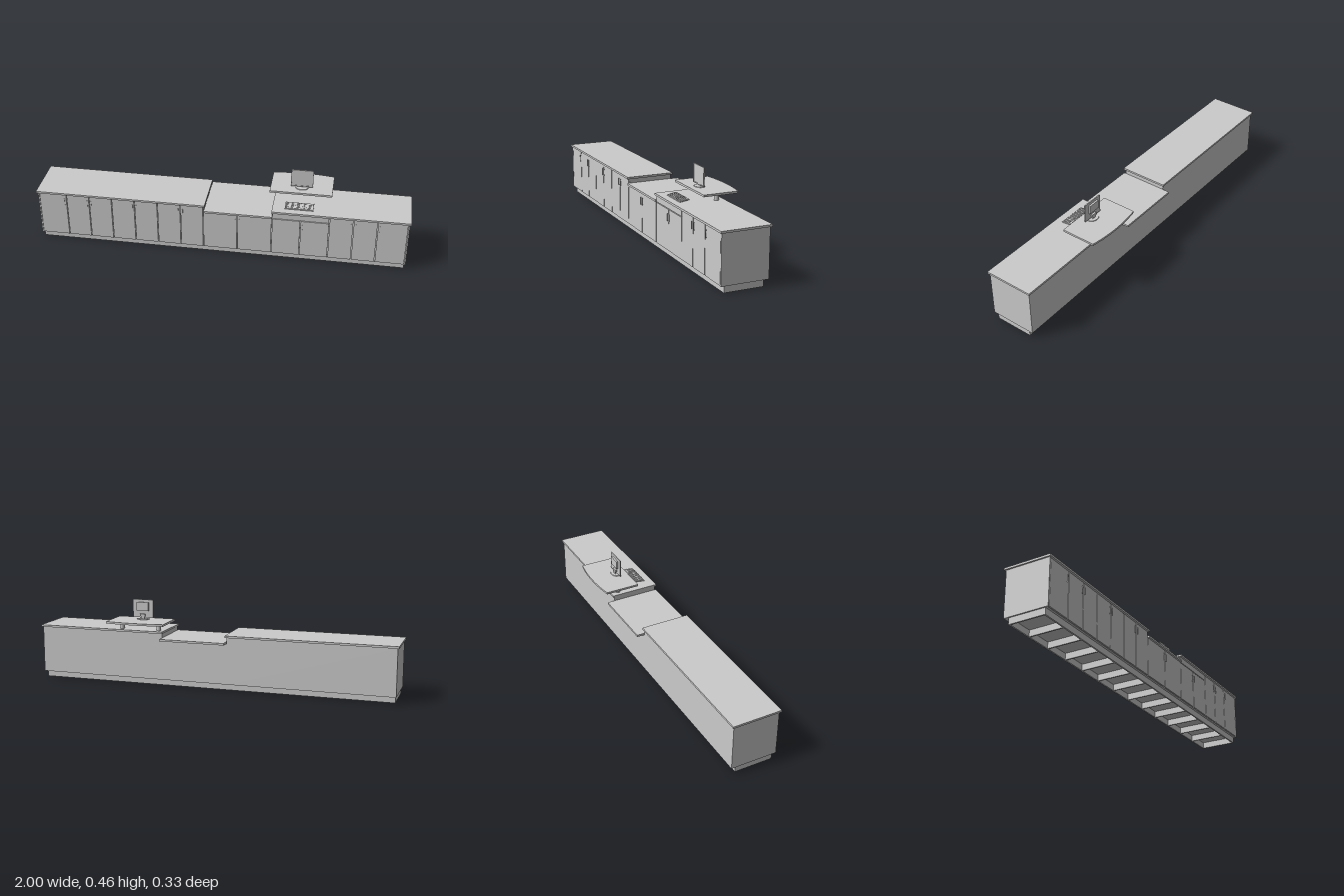
import * as THREE from 'three';

const grey = new THREE.MeshStandardMaterial({ color: 0xcccccc });

function add(parent, name, geometry) {
  const mesh = new THREE.Mesh(geometry, grey);
  mesh.name = name;
  parent.add(mesh);
  return mesh;
}

// Box given by its extents along each axis
function box(parent, name, [x0, x1], [y0, y1], [z0, z1]) {
  const mesh = add(parent, name, new THREE.BoxGeometry(x1 - x0, y1 - y0, z1 - z0));
  mesh.position.set((x0 + x1) / 2, (y0 + y1) / 2, (z0 + z1) / 2);
  return mesh;
}

function group(parent, name) {
  const g = new THREE.Group();
  g.name = name;
  parent.add(g);
  return g;
}

const GAP = 0.002;
const DOOR_Z = [0.151, 0.158];

function door(parent, x0, x1, top, handleX) {
  box(parent, 'door', [x0 + GAP, x1 - GAP], [0.037, top], DOOR_Z);
  // Bar handle on two posts
  const hTop = top - 0.022, hLow = hTop - 0.04;
  box(parent, 'handle', [handleX - 0.002, handleX + 0.002], [hLow, hTop], [0.1595, 0.162]);
  for (const y of [hLow, hTop - 0.004])
    box(parent, 'handlePost', [handleX - 0.0015, handleX + 0.0015], [y, y + 0.004], [0.157, 0.16]);
}

function buildCabinets(model) {
  const g = group(model, 'cabinets');
  box(g, 'leftCarcass', [-0.99, -0.088], [0.035, 0.29], [-0.093, 0.151]);
  box(g, 'middleCarcass', [-0.088, 0.278], [0.035, 0.256], [-0.093, 0.151]);
  box(g, 'rightCarcass', [0.278, 0.99], [0.035, 0.29], [-0.093, 0.151]);
  for (const s of [-1, 1])
    box(g, 'endPanel', s < 0 ? [-0.992, -0.985] : [0.985, 0.992], [0.035, 0.29], [-0.093, 0.158]);

  // Single doors: left edge, right edge, side that carries the handle
  const singles = [
    [-0.985, -0.835, 1], [-0.336, -0.211, 1], [-0.211, -0.088, -1],
    [0.579, 0.704, 1], [0.704, 0.829, -1], [0.829, 0.985, -1],
  ];
  for (const [a, b, s] of singles) door(g, a, b, 0.287, s > 0 ? b - 0.012 : a + 0.012);

  // Double doors: left edge, right edge, top
  const doubles = [[-0.835, -0.586, 0.287], [-0.586, -0.336, 0.287], [-0.088, 0.278, 0.254], [0.278, 0.579, 0.252]];
  for (const [a, b, top] of doubles) {
    const m = (a + b) / 2;
    door(g, a, m, top, m - 0.01);
    door(g, m, b, top, m + 0.01);
  }
  box(g, 'drawerFront', [0.28, 0.577], [0.256, 0.287], DOOR_Z);
}

function buildPlinth(model) {
  const g = group(model, 'plinth');
  box(g, 'plinthFront', [-0.985, 0.985], [0, 0.035], [0.131, 0.139]);
  box(g, 'plinthBack', [-0.985, 0.985], [0, 0.035], [-0.068, -0.06]);
  const cells = 13;
  for (let i = 0; i <= cells; i++) {
    const x = -0.981 + (1.962 * i) / cells;
    box(g, 'plinthCrossbar', [x - 0.004, x + 0.004], [0, 0.035], [-0.06, 0.131]);
  }
}

function buildCountertops(model) {
  const g = group(model, 'countertops');
  box(g, 'leftCountertop', [-1, -0.08], [0.29, 0.301], [-0.101, 0.166]);
  box(g, 'rightCountertop', [0.275, 1], [0.29, 0.301], [-0.101, 0.166]);
  box(g, 'loweredCountertop', [-0.085, 0.278], [0.256, 0.267], [-0.135, 0.166]);
}

function buildShelf(model) {
  const g = group(model, 'raisedShelf');
  // Plate with a bowed back edge; shape y becomes -z
  const s = new THREE.Shape();
  s.moveTo(0.25, -0.04);
  s.lineTo(0.581, -0.04);
  s.lineTo(0.581, 0.15);
  s.quadraticCurveTo(0.4155, 0.18, 0.25, 0.15);
  s.closePath();
  const plate = add(g, 'shelfPlate', new THREE.ExtrudeGeometry(s, { depth: 0.011, bevelEnabled: false, curveSegments: 16 }));
  plate.rotation.x = -Math.PI / 2;
  plate.position.y = 0.34;
  for (const x of [0.308, 0.523]) {
    const leg = add(g, 'shelfLeg', new THREE.CylinderGeometry(0.0125, 0.0125, 0.04, 24));
    leg.position.set(x, 0.32, -0.059);
  }
}

function buildMonitor(model) {
  const g = group(model, 'monitor');
  const cx = 0.416;
  const foot = add(g, 'monitorFoot', new THREE.CylinderGeometry(0.026, 0.027, 0.003, 32));
  foot.scale.x = 1.3;
  foot.position.set(cx, 0.3525, -0.018);
  box(g, 'monitorNeck', [cx - 0.011, cx + 0.011], [0.353, 0.378], [-0.026, -0.02]);
  box(g, 'neckHinge', [cx - 0.015, cx + 0.015], [0.368, 0.381], [-0.028, -0.018]);
  box(g, 'screenPanel', [cx - 0.059, cx + 0.059], [0.36, 0.46], [-0.018, -0.014]);
  // Raised bezel around the display
  box(g, 'bezelTop', [cx - 0.059, cx + 0.059], [0.456, 0.46], [-0.014, -0.012]);
  box(g, 'bezelBottom', [cx - 0.059, cx + 0.059], [0.36, 0.365], [-0.014, -0.012]);
  for (const d of [-0.057, 0.057])
    box(g, 'bezelSide', [cx + d - 0.002, cx + d + 0.002], [0.36, 0.46], [-0.014, -0.012]);
  box(g, 'monitorBackHousing', [cx - 0.034, cx + 0.034], [0.399, 0.445], [-0.028, -0.018]);
}

function buildKeyboard(model) {
  const g = group(model, 'keyboard');
  g.position.set(0.416, 0.3065, 0.1);
  g.rotation.x = 0.15;
  box(g, 'keyboardBase', [-0.075, 0.075], [-0.002, 0.002], [-0.027, 0.027]);
  const key = (x, z, w) => box(g, 'key', [x + 0.0008, x + w - 0.0008], [0.001, 0.0048], [z + 0.0008, z + 0.0072]);
  for (let r = 0; r < 6; r++) {
    const z = -0.024 + r * 0.008;
    // Main block, with a space bar in the front row
    for (let c = 0; c < 12; c++) {
      if (r === 5 && c > 3 && c < 8) continue;
      key(-0.072 + c * 0.0075, z, 0.0075);
    }
    if (r === 5) key(-0.042, z, 0.03);
    // Navigation and number blocks
    if (r !== 3) for (let c = 0; c < 2; c++) key(0.022 + c * 0.0075, z, 0.0075);
    if (r > 0) for (let c = 0; c < 4; c++) key(0.041 + c * 0.0077, z, 0.0077);
  }
  for (const x of [-0.06, 0.06])
    box(g, 'keyboardFoot', [x - 0.004, x + 0.004], [-0.008, -0.001], [-0.024, -0.02]);
}

export function createModel() {
  const model = new THREE.Group();
  model.name = 'receptionCounter';
  buildPlinth(model);
  buildCabinets(model);
  buildCountertops(model);
  buildShelf(model);
  buildMonitor(model);
  buildKeyboard(model);
  return model;
}
